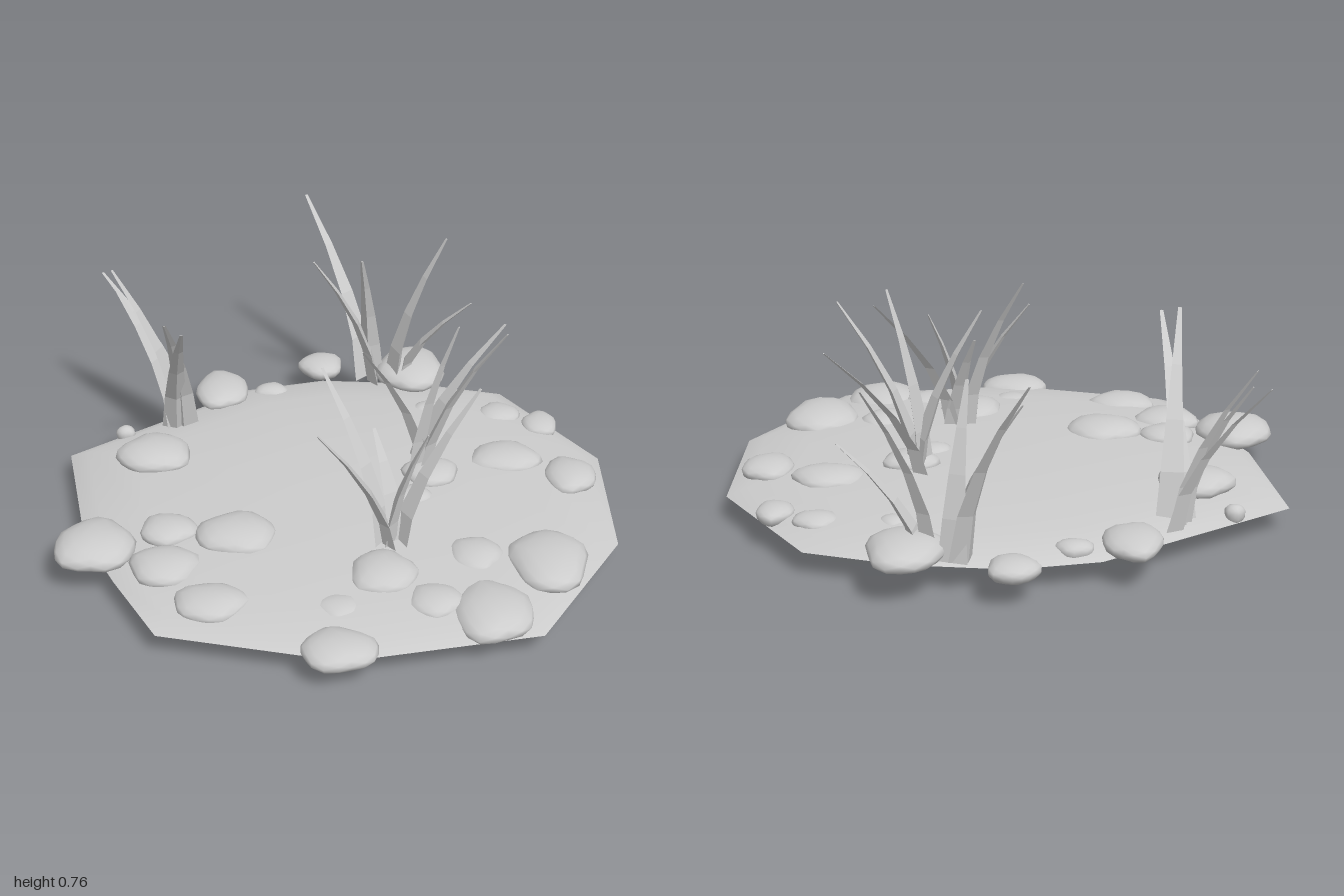
import * as THREE from 'three';
import { mergeVertices } from 'three/addons/utils/BufferGeometryUtils.js';

// Rim outline of the ground patch, as x, z
const RIM = [[-0.95, -0.25], [-0.85, 0.26], [-0.73, 0.51], [-0.57, 0.80], [0.03, 0.93], [0.66, 0.80],
  [0.95, 0.30], [0.94, -0.23], [0.62, -0.68], [0.3, -0.76], [-0.05, -0.78], [-0.33, -0.71]];

// Stones: x, z, half width, half depth, height of the top
const STONES = [
  [-0.80, 0.37, 0.14, 0.145, 0.18], [-0.56, 0.29, 0.10, 0.09, 0.17], [-0.33, 0.32, 0.14, 0.12, 0.185],
  [-0.56, 0.48, 0.12, 0.11, 0.165], [-0.40, 0.67, 0.125, 0.10, 0.155], [0.01, 0.89, 0.127, 0.105, 0.14],
  [0.155, 0.53, 0.115, 0.12, 0.175], [0.01, 0.69, 0.08, 0.07, 0.14], [0.32, 0.66, 0.095, 0.09, 0.15],
  [0.50, 0.70, 0.135, 0.16, 0.155], [0.70, 0.45, 0.135, 0.17, 0.175], [0.46, 0.42, 0.095, 0.10, 0.16],
  [0.82, -0.06, 0.093, 0.11, 0.16], [0.60, -0.16, 0.13, 0.10, 0.17], [0.33, -0.04, 0.10, 0.09, 0.185],
  [0.265, 0.09, 0.07, 0.06, 0.165], [0.745, -0.42, 0.065, 0.08, 0.14], [0.60, -0.49, 0.08, 0.07, 0.14],
  [0.34, -0.51, 0.06, 0.05, 0.145], [0.285, -0.77, 0.13, 0.155, 0.19], [-0.055, -0.84, 0.085, 0.085, 0.15],
  [-0.24, -0.66, 0.065, 0.05, 0.135], [-0.425, -0.64, 0.10, 0.13, 0.165], [-0.64, -0.17, 0.135, 0.12, 0.19],
  [-0.76, -0.36, 0.035, 0.03, 0.14]];

// Grass tufts: each blade is base x, z, then tip x, y, z
const TUFTS = {
  leftBackTuft: [[-0.57, -0.50, -0.84, 0.63, -0.62], [-0.58, -0.46, -0.80, 0.67, -0.56],
    [-0.60, -0.43, -0.79, 0.61, -0.54], [-0.58, -0.40, -0.515, 0.70, -0.03], [-0.55, -0.41, -0.575, 0.72, -0.06]],
  backTuft: [[0.10, -0.78, -0.11, 0.76, -1.0], [0.14, -0.74, -0.08, 0.61, -0.74], [0.13, -0.78, 0.095, 0.66, -0.65],
    [0.22, -0.72, 0.41, 0.67, -0.81], [0.25, -0.73, 0.50, 0.46, -0.70]],
  middleTuft: [[0.30, -0.09, 0.09, 0.67, 0.03], [0.29, -0.13, 0.59, 0.61, -0.27], [0.31, -0.07, 0.575, 0.71, -0.02],
    [0.29, -0.07, 0.41, 0.75, 0.0]],
  frontTuft: [[0.15, 0.36, -0.045, 0.715, 0.21], [0.22, 0.36, 0.475, 0.63, 0.20], [0.18, 0.38, -0.06, 0.58, 0.41],
    [0.20, 0.35, 0.125, 0.50, 0.23], [0.18, 0.36, 0.30, 0.55, 0.36]]
};

let seed = 11;
function rand() {
  seed = (seed * 16807) % 2147483647;
  return seed / 2147483647;
}

// Closed skin over rings of equal length, with a point at each end
function loft(rings, start, end) {
  const n = rings[0].length, pos = [...start, ...rings.flat(2), ...end], idx = [];
  const at = (r, i) => 1 + r * n + (i % n), last = pos.length / 3 - 1;
  for (let i = 0; i < n; i++) {
    idx.push(0, at(0, i + 1), at(0, i));
    for (let r = 0; r < rings.length - 1; r++) {
      idx.push(at(r, i), at(r, i + 1), at(r + 1, i), at(r, i + 1), at(r + 1, i + 1), at(r + 1, i));
    }
    idx.push(at(rings.length - 1, i), at(rings.length - 1, i + 1), last);
  }
  const g = new THREE.BufferGeometry();
  g.setAttribute('position', new THREE.Float32BufferAttribute(pos, 3));
  g.setIndex(idx);
  g.computeVertexNormals();
  return g;
}

// Gently domed surface, smooth inside and sharp along the rim
function groundHalf(levels, centreY, up) {
  const outline = up ? RIM : [...RIM].reverse();
  const n = outline.length, pos = [0, centreY, 0], idx = [];
  levels.forEach(([s, y]) => outline.forEach(([x, z]) => pos.push(x * s, y, z * s)));
  for (let i = 0; i < n; i++) {
    const j = (i + 1) % n;
    idx.push(0, 1 + i, 1 + j);
    for (let r = 0; r < levels.length - 1; r++) {
      const a = 1 + r * n, b = a + n;
      idx.push(a + i, b + i, a + j, a + j, b + i, b + j);
    }
  }
  const g = new THREE.BufferGeometry();
  g.setAttribute('position', new THREE.Float32BufferAttribute(pos, 3));
  g.setIndex(idx);
  g.computeVertexNormals();
  return g;
}

// Flattened, slightly irregular pebble with a shallow underside
function stoneGeometry(rx, rz, up, down) {
  let g = new THREE.IcosahedronGeometry(1, 2);
  g.deleteAttribute('normal');
  g.deleteAttribute('uv');
  g = mergeVertices(g, 1e-3);
  const p = g.attributes.position, a = rand() * 6, b = rand() * 6;
  for (let i = 0; i < p.count; i++) {
    const x = p.getX(i), y = p.getY(i), z = p.getZ(i), angle = Math.atan2(z, x);
    const k = 0.98 + 0.05 * Math.sin(3 * angle + a) + 0.04 * Math.sin(5 * angle + b);
    p.setXYZ(i, x * k * rx, y > 0 ? y * up : Math.max(y, -0.7) * down, z * k * rz);
  }
  g.computeVertexNormals();
  return g;
}

// Tapering three-sided blade that rises, then leans towards its tip
function bladeGeometry([bx, bz, tx, ty, tz]) {
  const lean = new THREE.Vector2(tx - bx, tz - bz).normalize();
  const y0 = 0.11, rings = [];
  for (const t of [0, 0.25, 0.5, 0.75, 1]) {
    const s = Math.pow(t, 1.7), w = 0.043 * (1 - t) + 0.006, d = w * 0.4;
    const x = bx + (tx - bx) * s, y = y0 + (ty - y0) * t, z = bz + (tz - bz) * s;
    rings.push([[w, -d], [-w, -d], [0, d]].map(([u, v]) =>
      [x - lean.y * u + lean.x * v, y, z + lean.x * u + lean.y * v]));
  }
  return loft(rings, [bx, y0, bz], [tx, ty, tz]);
}

export function createModel() {
  const model = new THREE.Group();
  const make = (color, name, extra) => Object.assign(new THREE.MeshStandardMaterial({ color, ...extra }), { name });
  const grey = make(0xcccccc, 'stone grey');
  const bladeGrey = make(0xcccccc, 'blade grey', { flatShading: true, side: THREE.DoubleSide });
  const add = (parent, name, geometry, material) => {
    const mesh = new THREE.Mesh(geometry, material);
    mesh.name = name;
    parent.add(mesh);
    return mesh;
  };

  // Ground patch; outline order is mirrored so each half faces outwards
  add(model, 'groundTop', groundHalf([[0.4, 0.147], [0.75, 0.132], [0.93, 0.11], [1, 0.083]], 0.15, true), grey);
  add(model, 'groundUnderside', groundHalf([[0.3, 0.003], [0.6, 0.014], [0.88, 0.04], [1, 0.083]], 0, false), grey);

  // Stones
  const stones = new THREE.Group();
  stones.name = 'stones';
  for (const [x, z, rx, rz, top] of STONES) {
    const y = top - Math.max(0.028, Math.min(rx, rz) * 0.4);
    add(stones, 'stone', stoneGeometry(rx, rz, top - y, 0.045), grey).position.set(x, y, z);
  }
  model.add(stones);

  // Grass tufts
  for (const [name, blades] of Object.entries(TUFTS)) {
    const tuft = new THREE.Group();
    tuft.name = name;
    blades.forEach(b => add(tuft, 'blade', bladeGeometry(b), bladeGrey));
    model.add(tuft);
  }
  return model;
}
